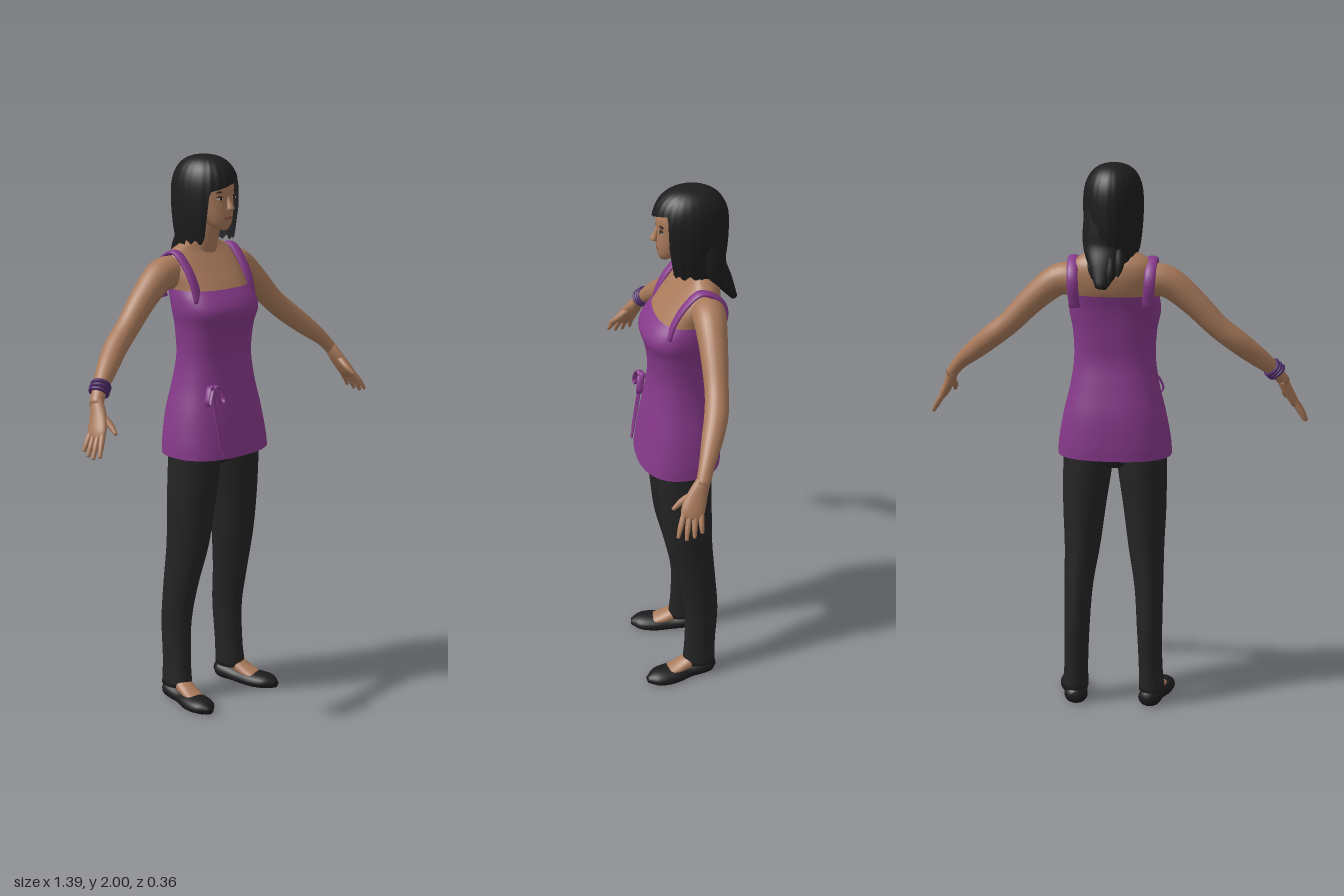
import * as THREE from 'three';

const mat = (name, color, side = THREE.FrontSide) => {
  const m = new THREE.MeshStandardMaterial({ color, side });
  m.name = name;
  return m;
};
const X = new THREE.Vector3(1, 0, 0), Z = new THREE.Vector3(0, 0, 1);

// Smooth skin through sections [x, y, z, radius along ref, radius across].
// power squares the section; level keeps every ring horizontal.
function loft(sections, { n = 24, steps = 5, ref = Z, power = 2, level = false, caps = true } = {}) {
  const path = new THREE.CatmullRomCurve3(sections.map(s => new THREE.Vector3(s[0], s[1], s[2])), false, 'catmullrom');
  const radii = new THREE.CatmullRomCurve3(sections.map(s => new THREE.Vector3(s[3], s[4], 0)), false, 'catmullrom');
  const rows = (sections.length - 1) * steps, pos = [], idx = [];
  const dir = Math.sign(sections[sections.length - 1][1] - sections[0][1]);
  const ring = (t, k) => {
    const c = path.getPoint(t), r = radii.getPoint(t);
    const T = level ? new THREE.Vector3(0, dir, 0) : path.getTangent(t);
    const W = ref.clone().addScaledVector(T, -T.dot(ref)).normalize();
    const N = T.clone().cross(W);
    const bend = v => Math.sign(v) * Math.abs(v) ** (2 / power);
    for (let j = 0; j < n; j++) {
      const a = j / n * Math.PI * 2;
      const p = c.clone().addScaledVector(W, bend(Math.cos(a)) * r.x * k).addScaledVector(N, bend(Math.sin(a)) * r.y * k);
      pos.push(p.x, p.y, p.z);
    }
  };
  if (caps) ring(0, 0);
  for (let i = 0; i <= rows; i++) ring(i / rows, 1);
  if (caps) ring(1, 0);
  const count = pos.length / 3 / n;
  for (let i = 0; i < count - 1; i++) for (let j = 0; j < n; j++) {
    const a = i * n + j, b = i * n + (j + 1) % n;
    idx.push(a, b, a + n, b, b + n, a + n);
  }
  const g = new THREE.BufferGeometry();
  g.setAttribute('position', new THREE.Float32BufferAttribute(pos, 3));
  g.setIndex(idx);
  g.computeVertexNormals();
  return g;
}

// Hair shell with a swept fringe, open around the face
function hairShell() {
  const cols = 96, rows = 20, pos = [], idx = [];
  for (let i = 0; i <= rows; i++) for (let j = 0; j <= cols; j++) {
    const a = (j / cols * 2 - 1) * Math.PI, s = Math.sin(a), c = Math.cos(a);
    const fringe = 1.905 + 0.035 * s;
    const side = THREE.MathUtils.lerp(1.7, 1.65, THREE.MathUtils.smoothstep(Math.abs(a), 1.5, 2.2)) + 0.008 * Math.sin(a * 19);
    const low = THREE.MathUtils.lerp(fringe, side, THREE.MathUtils.smoothstep(Math.abs(a), 0.75, 0.95));
    const y = 2 - (2 - low) * (1 - Math.cos(i / rows * Math.PI / 2));
    const h = (y - 1.86) / 0.14;
    const r = (h > 0 ? Math.max(0, 1 - h ** 2.5) ** 0.4 : 1 - 0.1 * h * h) * (1 + 0.012 * Math.sin(a * 23) * i / rows);
    pos.push(s * 0.106 * r, y, -0.016 + c * 0.132 * r);
  }
  for (let i = 0; i < rows; i++) for (let j = 0; j < cols; j++) {
    const a = i * (cols + 1) + j, b = a + cols + 1;
    idx.push(a, b, a + 1, a + 1, b, b + 1);
  }
  const g = new THREE.BufferGeometry();
  g.setAttribute('position', new THREE.Float32BufferAttribute(pos, 3));
  g.setIndex(idx);
  g.computeVertexNormals();
  return g;
}

export function createModel() {
  const model = new THREE.Group();
  model.name = 'woman';
  const skin = mat('skin', 0xa97a5b), hair = mat('hair', 0x1d1d1e, THREE.DoubleSide);
  const purple = mat('purple cloth', 0x86398a, THREE.DoubleSide), black = mat('trouser black', 0x242425);
  const shoeMat = mat('shoe black', 0x1b1b1d), band = mat('bracelet violet', 0x4d2a68);
  const white = mat('eye white', 0xcfc4bc), dark = mat('eye dark', 0x2a1b16), lip = mat('lip', 0x8f5648);
  const add = (name, geo, material) => {
    const m = new THREE.Mesh(geo, material);
    m.name = name;
    model.add(m);
    return m;
  };
  const blob = (name, material, p, s) => {
    const m = add(name, new THREE.SphereGeometry(1, 16, 10), material);
    m.position.set(...p);
    m.scale.set(...s);
    return m;
  };

  // Upper body and neck
  add('chest', loft([
    [0, 1.44, 0.03, 0.09, 0.13], [0, 1.5, 0.025, 0.105, 0.148], [0, 1.55, 0, 0.103, 0.152], [0, 1.6, -0.025, 0.088, 0.158],
    [0, 1.64, -0.04, 0.07, 0.15], [0, 1.67, -0.045, 0.05, 0.125], [0, 1.7, -0.04, 0.03, 0.07],
  ], { level: true, n: 40, power: 2.4 }), skin);
  add('neck', loft([[0, 1.6, -0.05, 0.06, 0.065], [0, 1.66, -0.035, 0.053, 0.058], [0, 1.71, -0.015, 0.047, 0.047], [0, 1.8, 0.005, 0.05, 0.048]], { level: true }), skin);

  // Head and face
  add('head', loft([
    [0, 1.744, 0.072, 0.018, 0.018], [0, 1.765, 0.052, 0.046, 0.042], [0, 1.8, 0.03, 0.071, 0.06], [0, 1.85, 0.01, 0.09, 0.072],
    [0, 1.9, 0, 0.101, 0.075], [0, 1.95, -0.01, 0.085, 0.063], [0, 1.98, -0.02, 0.04, 0.03],
  ], { level: true, n: 36 }), skin);
  add('nose', loft([[0, 1.865, 0.094, 0.006, 0.006], [0, 1.84, 0.104, 0.009, 0.009], [0, 1.82, 0.11, 0.013, 0.014], [0, 1.812, 0.103, 0.007, 0.01]], { level: true, n: 14 }), skin);
  blob('lips', lip, [0, 1.788, 0.095], [0.022, 0.008, 0.007]);

  // Hair
  add('hairCap', hairShell(), hair);
  add('hairBack', loft([
    [0, 1.88, -0.06, 0.075, 0.09], [0.01, 1.78, -0.07, 0.066, 0.092], [0.015, 1.71, -0.085, 0.055, 0.085],
    [0.02, 1.65, -0.125, 0.034, 0.058], [0.028, 1.58, -0.165, 0.012, 0.02],
  ], { n: 28 }), hair);
  for (const [x, y, z] of [[-0.03, 1.62, -0.15], [0.06, 1.61, -0.145], [0, 1.595, -0.165], [0.075, 1.65, -0.1]])
    add('hairTip', loft([[x * 0.8, y + 0.1, z + 0.05, 0.025, 0.025], [x, y + 0.04, z + 0.02, 0.018, 0.02], [x, y, z, 0.003, 0.004]], { n: 10 }), hair);

  // Long top
  const front = [
    [0.945, 0.185, -0.117, 0.207], [1.0, 0.178, -0.118, 0.203], [1.1, 0.162, -0.112, 0.185], [1.2, 0.143, -0.093, 0.161],
    [1.3, 0.132, -0.076, 0.147], [1.4, 0.145, -0.084, 0.151], [1.46, 0.162, -0.092, 0.163], [1.5, 0.147, -0.1, 0.163], [1.54, 0.114, -0.112, 0.157],
  ];
  add('top', loft(front.map(([y, f, b, rx]) => [0, y, (f + b) / 2, (f - b) / 2, rx]), { level: true, n: 48, power: 2.4, caps: false }), purple);

  // Ribbon bow on the right hip
  const ribbon = (name, pts, w = 0.01) => add(name, loft(pts.map(p => [...p, w, 0.004]), { ref: X, n: 8 }), purple);
  blob('bowKnot', purple, [-0.122, 1.2, 0.135], [0.014, 0.013, 0.013]);
  ribbon('bowTailLong', [[-0.12, 1.2, 0.135], [-0.115, 1.08, 0.155], [-0.1, 0.95, 0.182]]);
  ribbon('bowTailShort', [[-0.125, 1.2, 0.135], [-0.122, 1.1, 0.156], [-0.114, 0.98, 0.176]], 0.007);
  for (const s of [-1, 1])
    add('bowLoop', loft([[0, 0, 0], [0.022, 0.006, 0.01], [0.042, -0.035, 0.018], [0.032, -0.052, 0.016], [0.018, -0.03, 0.01], [0, 0, 0.002]]
      .map(([x, y, z]) => [-0.122 + s * x, 1.2 + y, 0.135 + z, 0.012, 0.004]), { n: 8 }), purple);

  // Hips inside the top
  add('hips', loft([[0, 0.9, 0.028, 0.06, 0.06], [0, 0.95, 0.028, 0.1, 0.18], [0, 1.05, 0.025, 0.105, 0.165]], { level: true, power: 2.4, n: 32 }), black);

  for (const s of [-1, 1]) {
    const sided = (name, rows, material, options) => add(name, loft(rows.map(([x, ...r]) => [s * x, ...r]), options), material);

    // Eye and brow
    blob('eye', white, [s * 0.033, 1.856, 0.089], [0.014, 0.006, 0.006]);
    blob('iris', dark, [s * 0.033, 1.856, 0.092], [0.006, 0.006, 0.005]);
    blob('lashLine', dark, [s * 0.034, 1.862, 0.09], [0.016, 0.003, 0.006]).rotation.z = s * -0.08;
    blob('eyebrow', dark, [s * 0.035, 1.879, 0.09], [0.019, 0.003, 0.006]).rotation.z = s * -0.1;

    // Shoulder strap
    sided('strap', [
      [0.135, 1.5, 0.085], [0.137, 1.56, 0.066], [0.138, 1.62, 0.03], [0.14, 1.668, -0.025],
      [0.138, 1.635, -0.09], [0.135, 1.58, -0.112], [0.13, 1.5, -0.095],
    ].map(p => [...p, 0.02, 0.009]), purple, { ref: X, n: 12 });

    // Arm
    sided('arm', [
      [0.12, 1.595, -0.05, 0.06, 0.062], [0.195, 1.588, -0.046, 0.056, 0.056], [0.28, 1.522, -0.04, 0.048, 0.048],
      [0.37, 1.432, -0.03, 0.041, 0.042], [0.44, 1.375, -0.015, 0.041, 0.041], [0.51, 1.317, 0.015, 0.036, 0.036],
      [0.57, 1.264, 0.045, 0.027, 0.026], [0.61, 1.215, 0.067, 0.024, 0.021],
    ], skin);

    // Hand
    sided('palm', [
      [0.6, 1.23, 0.06, 0.024, 0.021], [0.618, 1.185, 0.085, 0.034, 0.019],
      [0.643, 1.138, 0.107, 0.04, 0.016], [0.656, 1.115, 0.115, 0.03, 0.01],
    ], skin, { n: 18 });
    for (let i = 0; i < 4; i++) {
      const o = (i - 1.5) * 0.019, len = [0.85, 1, 1.05, 0.92][i];
      sided('finger', [
        [0.645, 1.135, 0.108 + o, 0.01, 0.01], [0.645 + 0.026 * len, 1.135 - 0.04 * len, 0.118 + o * 1.25, 0.0095, 0.0095],
        [0.645 + 0.044 * len, 1.135 - 0.074 * len, 0.124 + o * 1.45, 0.006, 0.006],
      ], skin, { n: 10 });
    }
    sided('thumb', [[0.614, 1.19, 0.095, 0.014, 0.014], [0.61, 1.16, 0.137, 0.012, 0.012], [0.616, 1.135, 0.17, 0.006, 0.006]], skin, { n: 10, ref: X });

    // Trouser leg
    sided('trouserLeg', [
      [0.098, 0.99, 0.03, 0.098, 0.09], [0.1, 0.9, 0.027, 0.1, 0.09], [0.111, 0.75, 0.02, 0.094, 0.079], [0.118, 0.6, 0.01, 0.086, 0.066],
      [0.13, 0.45, -0.013, 0.073, 0.053], [0.135, 0.3, -0.032, 0.063, 0.047], [0.139, 0.15, -0.027, 0.059, 0.044], [0.143, 0.055, -0.022, 0.063, 0.048],
    ], black, { level: true, n: 28 });

    // Foot and flat shoe
    sided('foot', [
      [0.142, 0.12, -0.03, 0.034, 0.036], [0.145, 0.072, -0.005, 0.035, 0.032],
      [0.152, 0.045, 0.05, 0.036, 0.022], [0.16, 0.03, 0.1, 0.036, 0.015],
    ], skin, { ref: X });
    const shoe = sided('shoe', [
      [0.132, 0.03, -0.085, 0.018, 0.018], [0.137, 0.028, -0.055, 0.042, 0.034], [0.147, 0.018, 0.02, 0.042, 0.03],
      [0.161, 0.016, 0.085, 0.052, 0.031], [0.172, 0.016, 0.145, 0.045, 0.027], [0.178, 0.013, 0.184, 0.014, 0.012],
    ], shoeMat, { ref: X });
    const p = shoe.geometry.attributes.position;
    for (let i = 0; i < p.count; i++) p.setY(i, Math.max(0, p.getY(i)));
    shoe.geometry.computeVertexNormals();
  }

  // Bracelets on the right wrist
  const along = new THREE.Vector3(-0.6, -0.6, 0.3).normalize();
  for (const k of [-1, 0, 1]) {
    const b = add('bracelet', new THREE.TorusGeometry(0.03, 0.007, 8, 28), band);
    b.position.set(-0.572, 1.262, 0.046).addScaledVector(along, k * 0.013);
    b.quaternion.setFromUnitVectors(Z, along);
    b.rotateX(k * 0.12);
  }
  return model;
}
